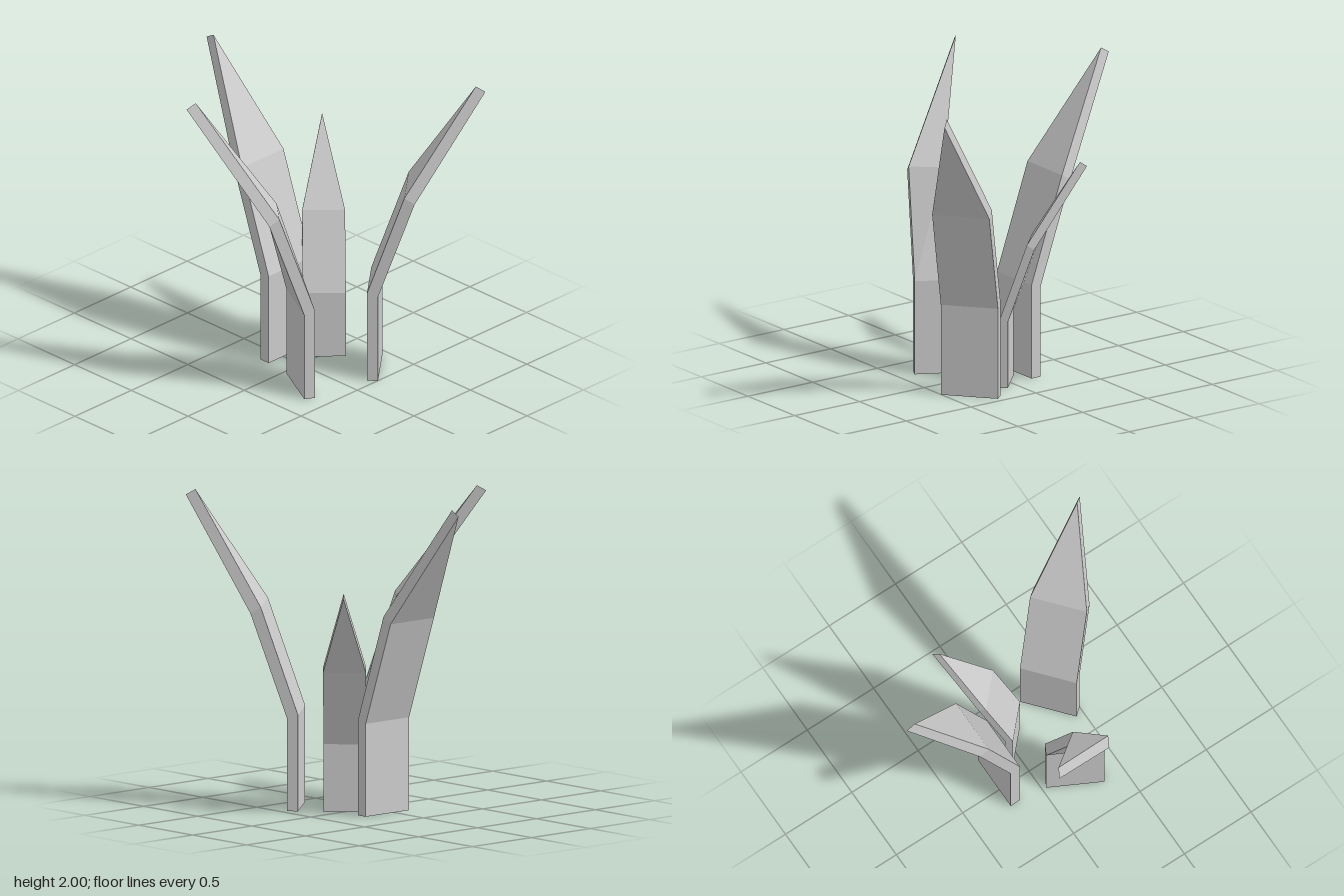
import * as THREE from 'three';

const material = new THREE.MeshStandardMaterial({ color: 0xcccccc, flatShading: true });

// Side profile of a blade, base to tip: [inner reach, inner height, outer reach, outer height]
const PROFILE = [
  [0, 0, 0.07, 0],
  [0, 0.61, 0.07, 0.59],
  [0.235, 1.29, 0.3, 1.25],
  [0.67, 2.0, 0.73, 1.965],
];
// Sideways extent at each station: [low side, high side, extra reach of low side]
const STRAIGHT = [[-0.184, 0.184, 0], [-0.184, 0.184, 0], [-0.184, 0.184, 0], [0, 0, 0]];
const TWISTED = [[-0.184, 0.184, 0], [-0.184, 0.184, 0], [-0.028, 0.188, -0.05], [-0.173, -0.173, 0]];

// A blade rises from (x, z) and bends outwards along (dx, dz)
function makeBlade(name, x, z, dx, dz, scale = 1, sides = STRAIGHT) {
  const len = Math.hypot(dx, dz);
  dx /= len;
  dz /= len;
  const point = (reach, y, side) => [
    x + scale * (dx * reach + dz * side),
    scale * y,
    z + scale * (dz * reach - dx * side),
  ];
  const rings = PROFILE.map(([ri, yi, ro, yo], k) => {
    const [low, high, extra] = sides[k];
    return [
      point(ri + extra, yi, low),
      point(ro + extra, yo, low),
      point(ro, yo, high),
      point(ri, yi, high),
    ];
  });

  const positions = [];
  const triangle = (a, b, c) => positions.push(...a, ...b, ...c);
  const last = rings.length - 2;
  for (let k = 0; k <= last; k++) {
    for (let i = 0; i < 4; i++) {
      const j = (i + 1) % 4;
      const [a, b, c, d] = [rings[k][i], rings[k][j], rings[k + 1][j], rings[k + 1][i]];
      triangle(a, b, c);
      // the broad faces close to a point at the tip
      if (k < last || i % 2 === 0) triangle(a, c, d);
    }
  }
  // base
  const [p, q, r, s] = rings[0];
  triangle(p, r, q);
  triangle(p, s, r);

  const geometry = new THREE.BufferGeometry();
  geometry.setAttribute('position', new THREE.Float32BufferAttribute(positions, 3));
  geometry.computeVertexNormals();
  const mesh = new THREE.Mesh(geometry, material);
  mesh.name = name;
  return mesh;
}

export function createModel() {
  const group = new THREE.Group();
  group.name = 'bladeCluster';
  group.add(
    makeBlade('backBlade', 0.055, -0.155, 0, -1),
    makeBlade('frontLeftBlade', 0.275, 0.33, 0.65, 0.76),
    makeBlade('rightTwistedBlade', -0.175, 0.2225, -0.886, -0.463, 1, TWISTED),
    makeBlade('smallLeftBlade', 0.1825, 0.0275, 0.688, -0.725, 0.73),
  );
  return group;
}
